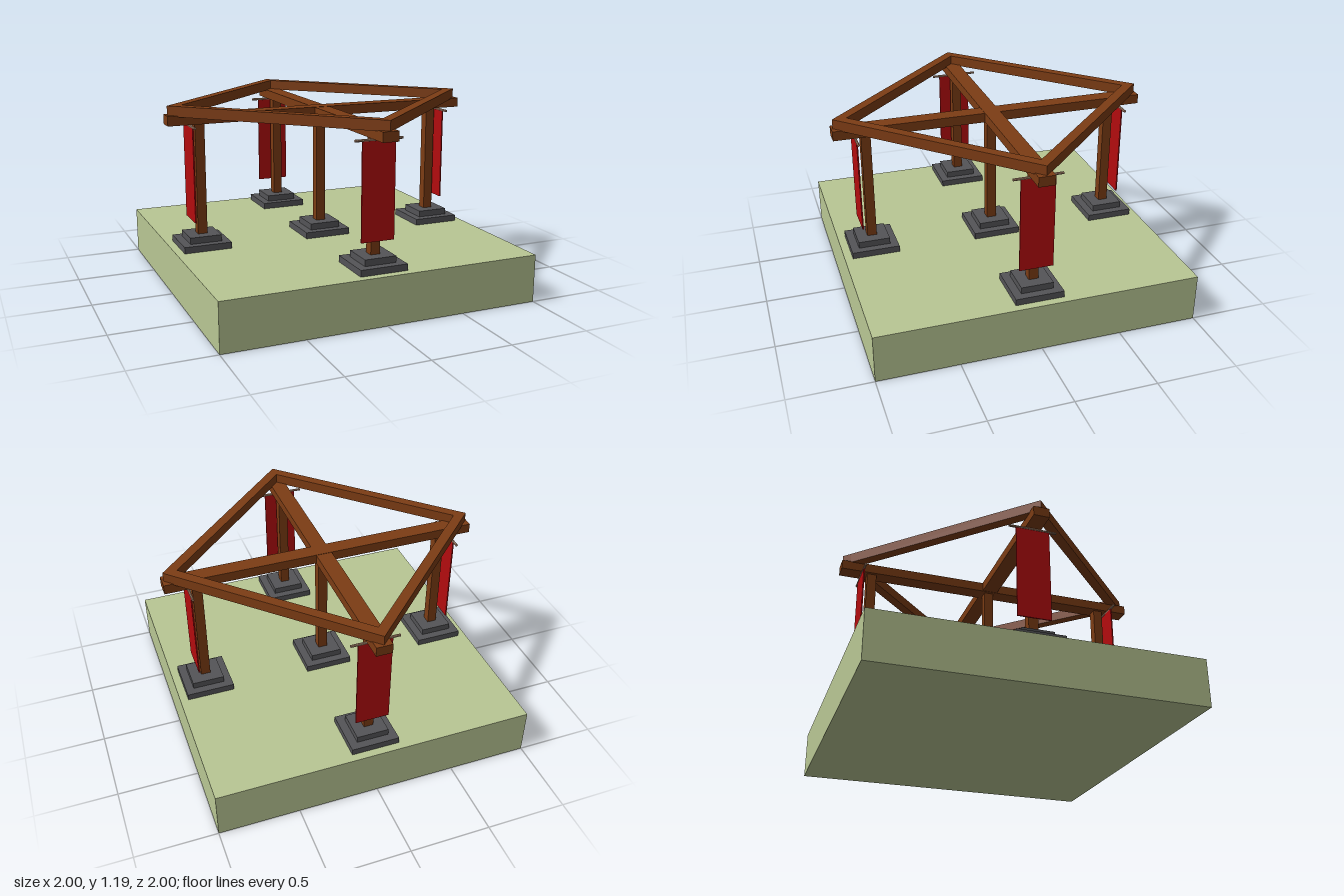
import * as THREE from 'three';

const mat = (color) => new THREE.MeshStandardMaterial({ color, flatShading: true });

export function createModel() {
  const model = new THREE.Group();
  const grass = mat(0xb9c794), stone = mat(0x545457), wood = mat(0x7c3c14);
  const cloth = mat(0xb30c0e), pole = mat(0xb08a70);

  // Box given by its size, its bottom height and its plan position
  function box(name, material, w, h, d, x, y, z, parent = model) {
    const mesh = new THREE.Mesh(new THREE.BoxGeometry(w, h, d), material);
    mesh.name = name;
    mesh.position.set(x, y + h / 2, z);
    parent.add(mesh);
    return mesh;
  }

  box('ground', grass, 2, 0.3, 2, 0, 0, 0);

  // Posts on stepped stone footings
  for (const [x, z] of [[0, 0], [0.8, 0], [-0.8, 0], [0, 0.8], [0, -0.8]]) {
    const post = new THREE.Group();
    post.name = 'postWithFooting';
    post.position.set(x, 0, z);
    box('lowerFooting', stone, 0.3, 0.04, 0.3, 0, 0.3, 0, post);
    box('upperFooting', stone, 0.2, 0.04, 0.2, 0, 0.34, 0, post);
    box('post', wood, 0.06, 0.7, 0.06, 0, 0.38, 0, post);
    model.add(post);
  }

  // Crossing main beams
  box('crossBeamX', wood, 2, 0.06, 0.1, 0, 1.072, 0);
  box('crossBeamZ', wood, 0.1, 0.06, 2, 0, 1.07, 0);

  // Diagonal ring, each beam butting against the next
  const side = 1.4, thick = 0.062;
  for (let i = 0; i < 4; i++) {
    const arm = new THREE.Group();
    arm.name = 'ringSide';
    arm.rotation.y = Math.PI / 4 + i * Math.PI / 2;
    box('ringBeam', wood, side - thick, 0.064, thick, thick / 2, 1.125, (side - thick) / 2, arm);
    model.add(arm);
  }

  // Banners hanging outside the four outer posts
  const banners = [[0, 0.865, 0], [0, -0.865, 0], [0.855, 0, 1], [-0.86, 0, 1]];
  for (const [x, z, turned] of banners) {
    const banner = new THREE.Group();
    banner.name = 'banner';
    banner.position.set(x, 0, z);
    banner.rotation.y = turned ? Math.PI / 2 : 0;
    const shift = turned ? 0.005 : -0.005;
    box('bannerCloth', cloth, 0.21, 0.59, 0.008, shift, 0.47, 0, banner);
    const rod = new THREE.Mesh(new THREE.CylinderGeometry(0.008, 0.008, 0.3, 8), pole);
    rod.name = 'bannerRod';
    rod.rotation.z = Math.PI / 2;
    rod.position.set(shift, 1.064, 0);
    banner.add(rod);
    model.add(banner);
  }
  return model;
}
